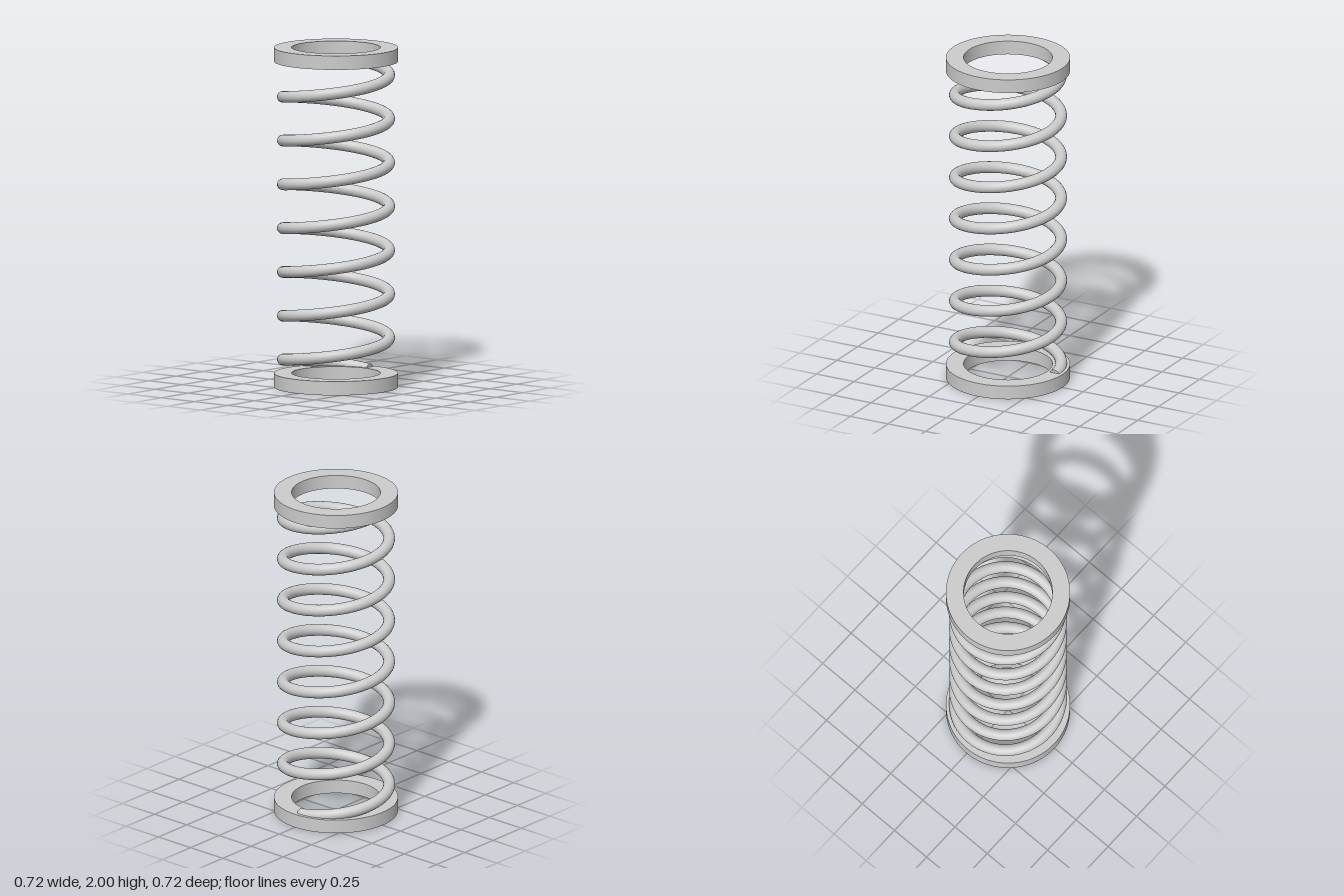
import * as THREE from 'three';

const COIL_RADIUS = 0.31, WIRE = 0.034, TURNS = 7.25, Y0 = 0.068, Y1 = 1.938;
const RING_OUTER = 0.362, RING_INNER = 0.259, RING_HEIGHT = 0.082;

// Helix rising from +x through -z, -x and +z
class Helix extends THREE.Curve {
  getPoint(t, target = new THREE.Vector3()) {
    const a = t * TURNS * Math.PI * 2;
    return target.set(COIL_RADIUS * Math.cos(a), Y0 + (Y1 - Y0) * t, -COIL_RADIUS * Math.sin(a));
  }
}

export function createModel() {
  const group = new THREE.Group();
  const material = new THREE.MeshStandardMaterial({ color: 0xcccccc });
  const add = (name, geometry) => {
    const mesh = new THREE.Mesh(geometry, material);
    mesh.name = name;
    group.add(mesh);
    return mesh;
  };

  // Flat end rings
  const outline = new THREE.Shape().absarc(0, 0, RING_OUTER, 0, Math.PI * 2);
  outline.holes.push(new THREE.Path().absarc(0, 0, RING_INNER, 0, Math.PI * 2, true));
  const ring = new THREE.ExtrudeGeometry(outline, { depth: RING_HEIGHT, bevelEnabled: false, curveSegments: 96 });
  ring.rotateX(-Math.PI / 2);
  add('bottomRing', ring);
  add('topRing', ring).position.y = 2 - RING_HEIGHT;

  // Spring wire
  const helix = new Helix();
  add('coil', new THREE.TubeGeometry(helix, 700, WIRE, 20, false));

  // Flat caps closing the wire ends
  for (const [name, t, sign] of [['lowerWireEnd', 0, -1], ['upperWireEnd', 1, 1]]) {
    const cap = add(name, new THREE.CircleGeometry(WIRE, 20));
    cap.position.copy(helix.getPoint(t));
    const outward = helix.getTangent(t).multiplyScalar(sign);
    cap.quaternion.setFromUnitVectors(new THREE.Vector3(0, 0, 1), outward);
  }
  return group;
}
